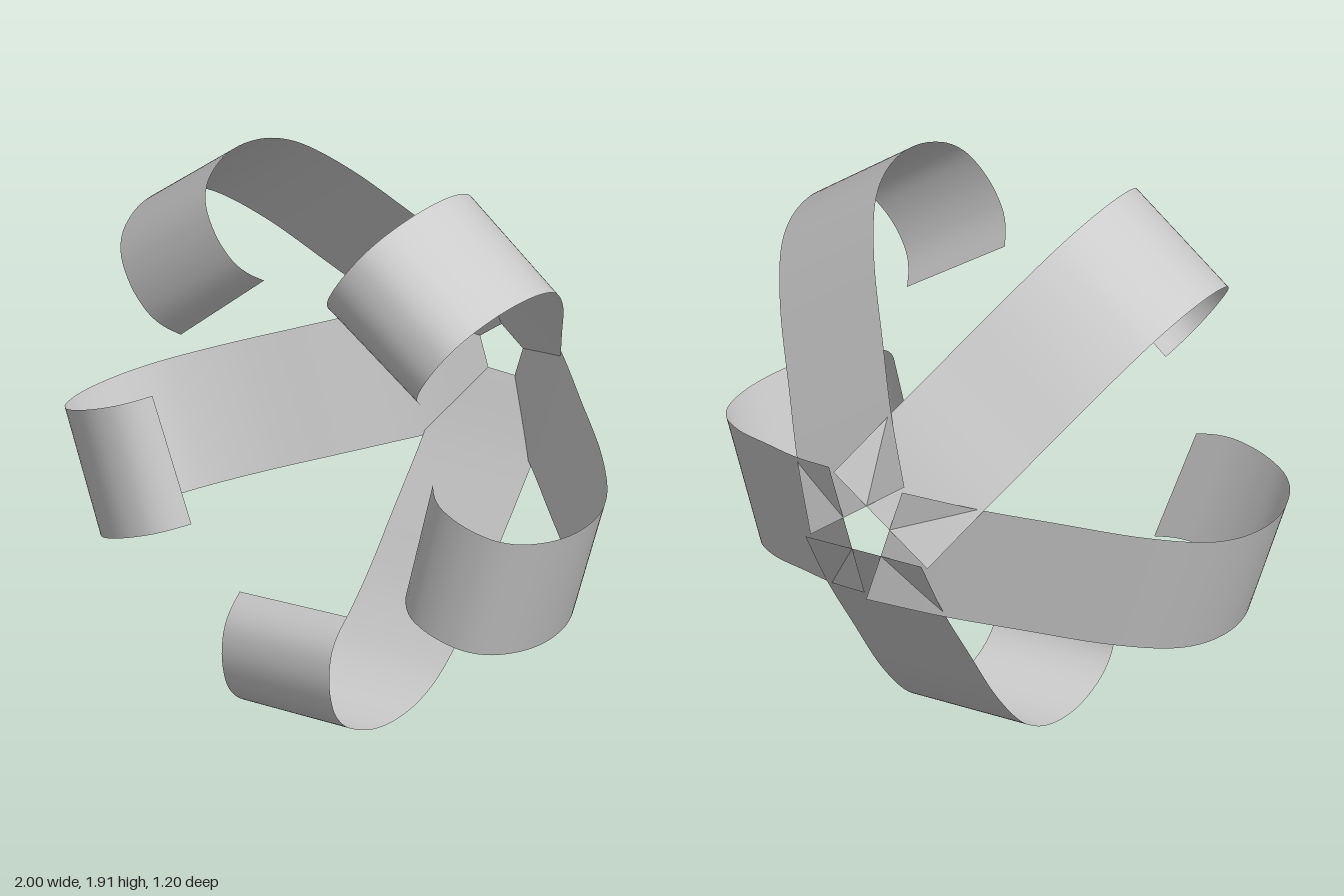
import * as THREE from 'three';

const HUB_Y = 0.984;      // height of the hub the strips radiate from
const HALF_WIDTH = 0.222;
const STEPS = 80;

// side profile of one curled strip: [z, distance from the hub axis]
const PROFILE = [
  [-0.6, 0.075], [-0.467, 0.292], [-0.31, 0.507], [-0.14, 0.733], [0, 0.875],
  [0.08, 0.928], [0.17, 0.962], [0.28, 0.977], [0.37, 0.97], [0.45, 0.947],
  [0.52, 0.91], [0.57, 0.855], [0.594, 0.786], [0.6, 0.714], [0.584, 0.634],
  [0.55, 0.582], [0.5, 0.537],
];

// ribbon swept along the profile, drifting sideways and skewing slightly toward its tip
function stripGeometry() {
  const curve = new THREE.CatmullRomCurve3(
    PROFILE.map(([z, r]) => new THREE.Vector3(0, -r, z)), false, 'centripetal');
  const points = curve.getSpacedPoints(STEPS);
  const positions = [];
  const index = [];
  points.forEach((p, i) => {
    const t = i / STEPS;
    const drift = THREE.MathUtils.lerp(0.012, -0.012, t);
    for (const side of [-1, 1]) {
      const u = side * HALF_WIDTH;
      positions.push(u + drift, p.y + u * 0.057 * t ** 3, p.z);
    }
    if (i < STEPS) {
      const a = i * 2;
      index.push(a, a + 1, a + 2, a + 1, a + 3, a + 2);
    }
  });
  const geometry = new THREE.BufferGeometry();
  geometry.setAttribute('position', new THREE.Float32BufferAttribute(positions, 3));
  geometry.setIndex(index);
  geometry.computeVertexNormals();
  return geometry;
}

export function createModel() {
  const model = new THREE.Group();
  model.name = 'curledStripFlower';
  const material = new THREE.MeshStandardMaterial({ color: 0xcccccc, side: THREE.DoubleSide });
  const geometry = stripGeometry();

  // five strips spaced evenly round the open hub
  for (let k = 0; k < 5; k++) {
    const strip = new THREE.Mesh(geometry, material);
    strip.name = `curledStrip${k + 1}`;
    strip.position.y = HUB_Y;
    strip.rotation.z = (k * Math.PI * 2) / 5;
    model.add(strip);
  }
  return model;
}
